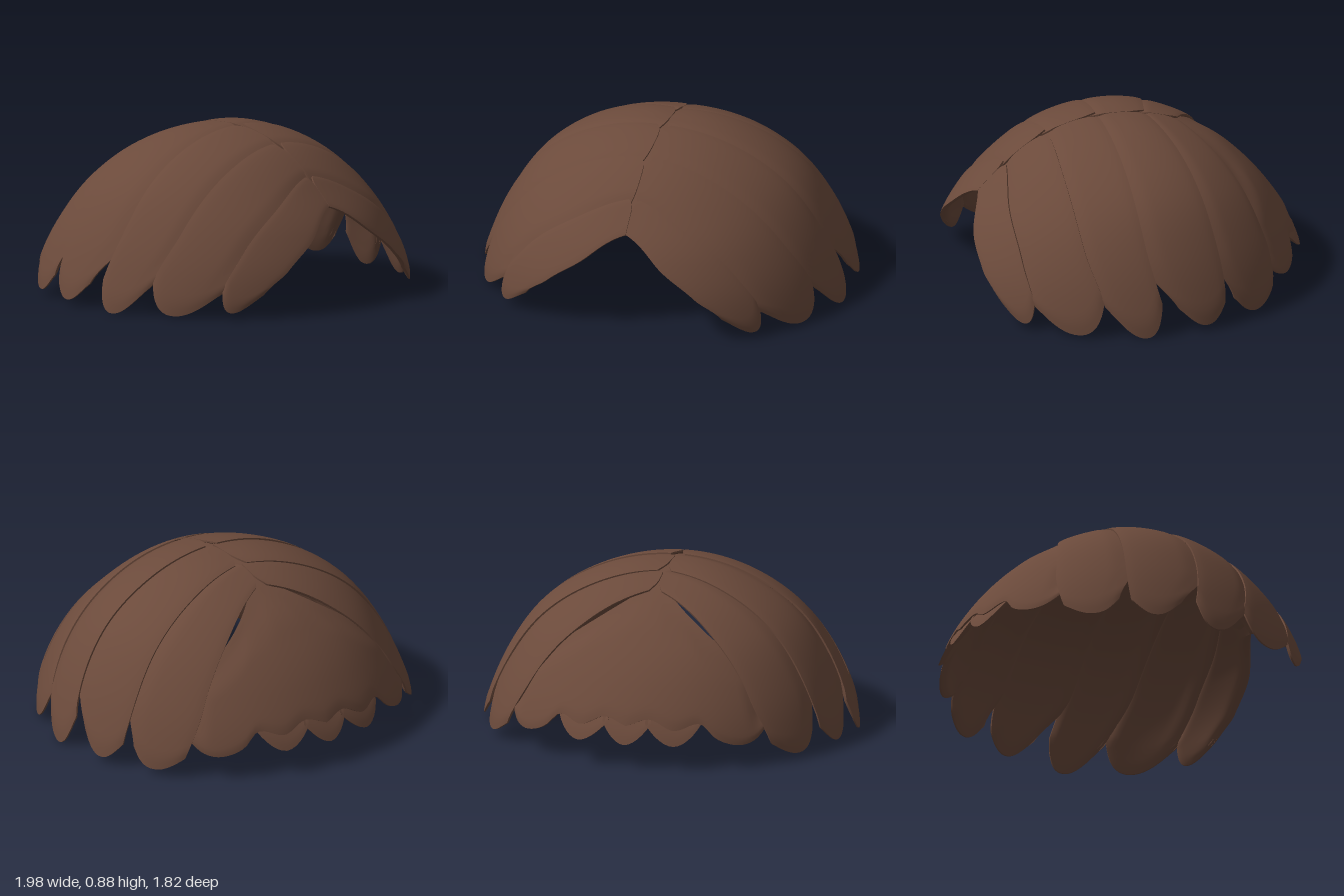
import * as THREE from 'three';
import { toCreasedNormals } from 'three/addons/utils/BufferGeometryUtils.js';

const RAD = Math.PI / 180;
const hair = new THREE.MeshStandardMaterial({ color: 0x6b4a3b, side: THREE.DoubleSide });
hair.name = 'brown hair';

const { clamp, lerp, smoothstep } = THREE.MathUtils;

// Smooth curve through [x, y] knots
function interp(knots, x) {
  const last = knots.length - 1;
  let i = 0;
  while (i < last - 1 && x > knots[i + 1][0]) i++;
  const slope = k => {
    const p = knots[Math.max(k - 1, 0)], q = knots[Math.min(k + 1, last)];
    return (q[1] - p[1]) / (q[0] - p[0]);
  };
  const [x0, y0] = knots[i], [x1, y1] = knots[i + 1];
  const h = x1 - x0, s = clamp((x - x0) / h, 0, 1), r = 1 - s;
  return y0 * r * r * (1 + 2 * s) + y1 * s * s * (1 + 2 * r) + h * s * r * (slope(i) * r - slope(i + 1) * s);
}

// Head dome: radius against the angle from straight up, at the front, sides and back
const FRONT = [[0, 0.88], [29, 0.908], [49, 0.92], [65, 0.965], [78, 1.0], [90, 1.01]];
const SIDE = [[0, 0.88], [27, 0.902], [48, 0.93], [65, 0.942], [78, 0.965], [90, 1.005]];
const BACK = [[0, 0.88], [22, 0.868], [35, 0.867], [47, 0.872], [64, 0.905], [78, 0.95], [90, 0.985]];
function domeRadius(d) {
  const t = Math.acos(clamp(d.y, -1, 1)) / RAD;
  const c = d.z / (Math.hypot(d.x, d.z) + 1e-6);
  return lerp(interp(SIDE, t), interp(c > 0 ? FRONT : BACK, t), c * c);
}

// Directions: across the parting (a) and along it (b), or around the vertical axis
const across = (a, b) => new THREE.Vector3(
  Math.sin(a * RAD) * Math.cos(b * RAD), Math.cos(a * RAD) * Math.cos(b * RAD), Math.sin(b * RAD));
const around = (t, p) => new THREE.Vector3(
  Math.sin(t * RAD) * Math.sin(p * RAD), Math.cos(t * RAD), -Math.sin(t * RAD) * Math.cos(p * RAD));

// Closed curved plate on the dome, thin at its edges; rule(u, v) returns [direction, radial offset]
function plate(name, nu, nv, thick, rule, mirror = false) {
  const pos = [], idx = [], half = (nu + 1) * (nv + 1);
  for (const inner of [0, 1]) {
    for (let i = 0; i <= nu; i++) for (let j = 0; j <= nv; j++) {
      const u = i / nu, v = j / nv, [d, off] = rule(u, v);
      const edge = Math.max(Math.abs(2 * v - 1) ** 8, Math.abs(2 * u - 1) ** 16);
      const p = d.clone().multiplyScalar(domeRadius(d) + off - inner * thick * (1 - 0.75 * edge));
      pos.push(mirror ? -p.x : p.x, Math.max(p.y, 0), p.z + 0.03);
    }
  }
  const at = (i, j) => i * (nv + 1) + j;
  const quad = (a, b, c, d) => mirror ? idx.push(a, c, b, a, d, c) : idx.push(a, b, c, a, c, d);
  const rim = (p, q) => quad(q, p, p + half, q + half);
  for (let i = 0; i < nu; i++) for (let j = 0; j < nv; j++) {
    const a = at(i, j), b = at(i + 1, j), c = at(i + 1, j + 1), d = at(i, j + 1);
    quad(a, b, c, d);
    quad(a + half, d + half, c + half, b + half);
  }
  for (let i = 0; i < nu; i++) {
    rim(at(i, 0), at(i + 1, 0));
    rim(at(i + 1, nv), at(i, nv));
  }
  for (let j = 0; j < nv; j++) {
    rim(at(0, j + 1), at(0, j));
    rim(at(nu, j), at(nu, j + 1));
  }
  const g = new THREE.BufferGeometry();
  g.setAttribute('position', new THREE.Float32BufferAttribute(pos, 3));
  g.setIndex(idx);
  const mesh = new THREE.Mesh(toCreasedNormals(g, 0.6), hair);
  mesh.name = name;
  return mesh;
}

// Boundaries between side locks, from front to back, at these angles from the parting
const STOPS = [0, 30, 60, 75, 90];
const BOUNDS = [
  [56, 63, 61, 56, 51],
  [43, 48, 46, 43, 39],
  [26, 27, 25, 21, 16],
  [8, 7, 5.5, 3, -1],
  [-9, -15, -19, -20, -19],
  [-21, -35, -42, -42, -39],
].map(row => row.map((b, i) => [STOPS[i], b]));

// Per lock: tip angle, rounding of the tip, tuck under the lock in front, gap near the tip
const LOCKS = [
  { tip: 87, drop: 10, tuck: 0, gap: 0 },
  { tip: 89, drop: 11, tuck: 2.5, gap: -1 },
  { tip: 89.8, drop: 10, tuck: 2.5, gap: 0 },
  { tip: 88, drop: 6, tuck: 2.5, gap: 5 },
  { tip: 87.5, drop: 6, tuck: 2.5, gap: 4 },
];

export function createModel() {
  const group = new THREE.Group();
  group.name = 'hair';

  // Strip closing the parting from beneath
  group.add(plate('partingStrip', 10, 40, 0.02,
    (u, v) => [across(lerp(-6, 6, u), lerp(53, -26, v)), -0.02]));

  // Side locks sweep from the parting down to rounded tips
  LOCKS.forEach((lock, n) => {
    const rule = (u, v) => {
      const e = Math.abs(2 * v - 1);
      const start = 0.1 + (n || v > 0.5 ? 2.4 * e ** 3 : 0);
      const end = lock.tip - lock.drop * e ** 2.2;
      const a = lerp(start, end, u);
      const front = interp(BOUNDS[n], a) + lock.tuck - (lock.tuck + lock.gap) * smoothstep(a, 66, 84);
      const b = lerp(front, interp(BOUNDS[n + 1], a), v);
      const tuckIn = n ? -0.011 * (1 - smoothstep(v, 0, 0.3)) * (1 - smoothstep(u, 0.7, 1)) : 0;
      const off = 0.004 * v + tuckIn - 0.003 * e ** 10 - 0.008 * smoothstep(u, 0.95, 1);
      return [across(a, b), off];
    };
    for (const mirror of [false, true])
      group.add(plate(`${mirror ? 'right' : 'left'}Lock${n + 1}`, 36, 18, 0.036, rule, mirror));
  });

  // Broad back sweep with a pointed top and a scalloped hem
  const top = [[0, 16], [10, 20], [21, 29], [38, 48], [49, 62]];
  const hem = [[0, 76], [8, 73.5], [16, 77], [25, 75], [30, 80], [37, 82.5], [43, 81.5], [49, 77]];
  group.add(plate('backSweep', 28, 64, 0.036, (u, v) => {
    const p = lerp(49, -49, v), q = Math.abs(p);
    const t = lerp(interp(top, q), interp(hem, q), u);
    const hidden = Math.max(1 - smoothstep(u, 0.1, 0.45), smoothstep(q, 41, 47) * (1 - smoothstep(u, 0.7, 1)));
    return [around(t, p), -0.012 * hidden - 0.006 * smoothstep(u, 0.95, 1)];
  }));

  // Small tufts below the back sweep
  for (const [name, mid, width, tip] of [
    ['backTuft', 0, 8.5, 82], ['leftBackTuft', 16, 9.5, 82], ['rightBackTuft', -16, 9.5, 82],
  ]) {
    group.add(plate(name, 12, 12, 0.03, (u, v) => {
      const e = 2 * v - 1;
      const t = lerp(62, tip - 7 * Math.abs(e) ** 1.8, u);
      return [around(t, mid - width * e), -0.02 + 0.016 * smoothstep(u, 0.5, 1) - 0.006 * e * e];
    }));
  }

  return group;
}
